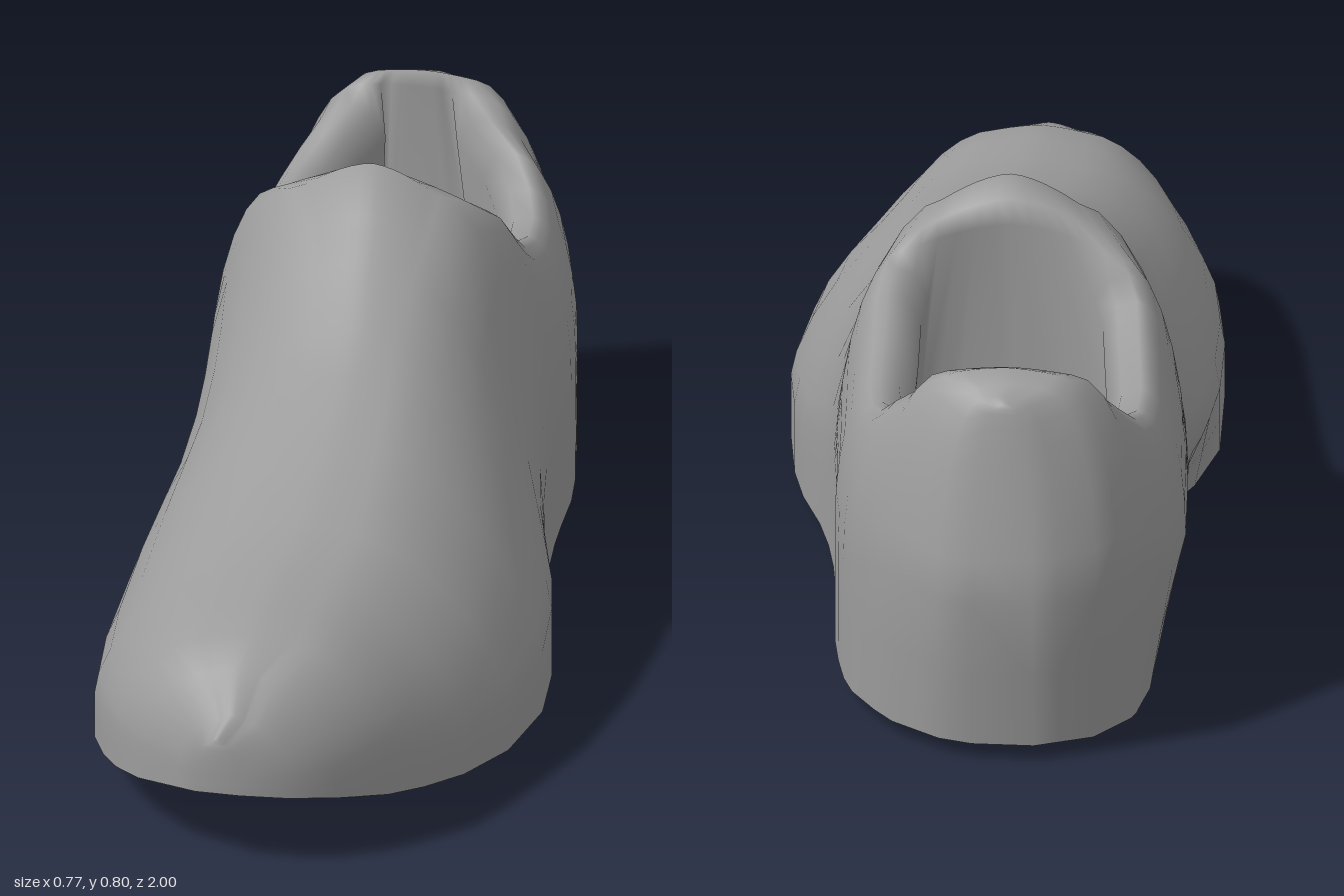
import * as THREE from 'three';

// Piecewise-linear tables of [z, value], running from toe to heel
const at = (table, z) => {
  for (let i = 1; i < table.length; i++) {
    const [z0, v0] = table[i - 1], [z1, v1] = table[i];
    if (z >= z1) return THREE.MathUtils.lerp(v0, v1, Math.min(1, Math.max(0, (z0 - z) / (z0 - z1))));
  }
  return table[table.length - 1][1];
};

// Plan outlines: widest wall on each side, and the waisted sole edge on the inner side
const wallRight = [[1, 0], [0.97, 0.12], [0.86, 0.23], [0.7, 0.31], [0.5, 0.37], [0.3, 0.385], [0.1, 0.36],
  [-0.1, 0.29], [-0.24, 0.265], [-0.4, 0.245], [-0.58, 0.235], [-0.76, 0.2], [-0.9, 0.12], [-0.98, 0.02], [-1, -0.04]];
const wallLeft = [[1, -0.08], [0.93, -0.2], [0.82, -0.28], [0.65, -0.345], [0.45, -0.375], [0.25, -0.375],
  [-0.1, -0.355], [-0.4, -0.375], [-0.55, -0.385], [-0.7, -0.38], [-0.85, -0.34], [-0.95, -0.26], [-1, -0.15]];
const waist = [[0.25, 0], [0.1, 0.04], [-0.12, 0.135], [-0.24, 0.125], [-0.43, 0.075], [-0.8, 0.03], [-1, 0]];

// Side profiles: sole edge, shoulder of the top line, half-width of the top and the rise of its crown
const soleY = [[1, 0.145], [0.8, 0.09], [0.6, 0.05], [0.3, 0.026], [0, 0.022], [-1, 0.03]];
const topY = [[1, 0.24], [0.98, 0.28], [0.93, 0.345], [0.84, 0.38], [0.53, 0.42], [0.2, 0.535], [0.05, 0.595],
  [-0.06, 0.66], [-0.24, 0.747], [-0.3, 0.715], [-0.33, 0.685], [-0.36, 0.635], [-0.45, 0.57], [-0.58, 0.525],
  [-0.7, 0.54], [-0.8, 0.61], [-0.86, 0.675], [-0.91, 0.69], [-1, 0.655]];
const ridge = [[1, 0.015], [0.86, 0.08], [0.5, 0.1], [0, 0.08], [-0.24, 0.12], [-0.3, 0.16], [-0.33, 0.195],
  [-0.36, 0.22], [-0.6, 0.235], [-0.72, 0.207], [-0.78, 0.175], [-0.83, 0.125], [-0.86, 0.11], [-0.93, 0.08], [-1, 0.02]];
const crown = [[0.2, 0.012], [-0.06, 0.025], [-0.24, 0.053], [-0.3, 0.055], [-0.33, 0.045], [-0.8, 0.01]];

// Height share of the upright wall, and how flatly each flank slopes above it
const wallShare = [[1, 0.3], [0.7, 0.25], [0, 0.25], [-0.24, 0.3], [-0.5, 0.45], [-1, 0.45]];
const flankRight = [[1, 1.1], [0.7, 1.3], [0.3, 1.38], [0, 1.38], [-0.24, 1.2], [-0.4, 1], [-1, 1]];
const flankLeft = [[1, 1.1], [0.7, 1.25], [0, 1.25], [-0.24, 1.15], [-0.4, 1], [-1, 1]];

const stations = [1, 0.98, 0.93, 0.85, 0.76, 0.65, 0.5, 0.3, 0.15, 0.05, -0.06, -0.15, -0.24, -0.3, -0.33,
  -0.345, -0.375, -0.45, -0.55, -0.64, -0.72, -0.78, -0.83, -0.86, -0.91, -0.95, -0.98, -1];
const FLOOR = 0.1;

// Leans the heel wall, bulging at mid height, and bows the tongue edge forward at its middle
function place(x, y, z) {
  const k = THREE.MathUtils.clamp((-z - 0.6) / 0.4, 0, 1);
  const lean = y < 0.32 ? (0.32 - y) * 0.1 : (y - 0.32) * 0.26;
  const bow = 0.03 * Math.max(0, 1 - Math.abs(z + 0.335) / 0.1) * Math.max(0, 1 - ((x + 0.06) / 0.17) ** 2);
  return [x, y, z + k * lean + bow];
}

const soleEdges = z => [at(wallLeft, z) + at(waist, z), at(wallRight, z)];

// One half of a cross-section, from the sole edge to the centre line
function halfSection(z, side) {
  const left = at(wallLeft, z), right = at(wallRight, z);
  const cx = (left + right) / 2, w = (right - left) / 2;
  const y0 = at(soleY, z), yr = at(topY, z), r = Math.min(at(ridge, z), w * 0.8);
  const yw = y0 + (yr - y0) * at(wallShare, z);
  const edge = soleEdges(z)[side < 0 ? 0 : 1], wall = cx + side * w;
  const power = at(side < 0 ? flankLeft : flankRight, z);
  const pts = [[edge, y0], [(edge + wall) / 2, (y0 + yw) / 2]];
  // outer wall rounding over to the ridge
  for (let i = 0; i <= 7; i++) {
    const a = (i / 7) * Math.PI / 2;
    const across = Math.max(0, Math.cos(a)) ** power, up = Math.sin(a) ** power;
    pts.push([cx + side * (r + (w - r) * across), yw + (yr - yw) * up]);
  }
  if (z < -0.335 && z > -0.84) {
    // collar roll, lining that widens below it, and insole
    pts.push([cx + side * (r - 0.035), yr - 0.012], [cx + side * (r - 0.06), yr - 0.06],
      [cx + side * (r - 0.045), (yr + FLOOR) / 2], [cx + side * (r - 0.05), FLOOR + 0.02],
      [cx + side * (r - 0.06) * 0.8, FLOOR], [cx, FLOOR]);
  } else {
    // closed crown
    const rise = at(crown, z);
    for (let i = 1; i <= 6; i++) {
      const s = 1 - i / 6;
      pts.push([cx + side * r * s, yr + rise * (1 - s ** 1.6)]);
    }
  }
  return pts;
}

// Joins rows of points into a smooth sheet, with optional end caps built across each end row
function loft(rows, flip, caps) {
  const n = rows[0].length, index = [];
  const tri = (a, b, c) => (flip ? index.push(a, c, b) : index.push(a, b, c));
  for (let i = 0; i < rows.length - 1; i++) {
    for (let j = 0; j < n - 1; j++) {
      const a = i * n + j, c = a + n;
      tri(a, a + 1, c);
      tri(a + 1, c + 1, c);
    }
  }
  if (caps) {
    const last = (rows.length - 1) * n;
    for (let j = 0; j < (n - 1) / 2; j++) {
      const m = n - 1 - j;
      tri(j, m, m - 1);
      tri(last + j, last + m - 1, last + m);
      if (m - 1 > j + 1) {
        tri(j, m - 1, j + 1);
        tri(last + j, last + j + 1, last + m - 1);
      }
    }
  }
  const g = new THREE.BufferGeometry();
  g.setAttribute('position', new THREE.Float32BufferAttribute(rows.flat(2), 3));
  g.setIndex(index);
  g.computeVertexNormals();
  return g;
}

export function createModel() {
  const group = new THREE.Group();
  group.name = 'shoe';
  const material = new THREE.MeshStandardMaterial({ color: 0x9c9c9c, side: THREE.DoubleSide });
  const add = (name, geometry) => {
    const mesh = new THREE.Mesh(geometry, material);
    mesh.name = name;
    group.add(mesh);
  };

  // Upper with its collar and lining in one continuous surface
  const upperRows = stations.map(z => {
    const l = halfSection(z, -1), r = halfSection(z, 1).reverse().slice(1);
    return [...l, ...r].map(([x, y]) => place(x, y, z));
  });
  add('upper', loft(upperRows, false, true));

  // Underside, slightly bellied between its edges
  const soleRows = stations.map(z => {
    const [l, r] = soleEdges(z), y = at(soleY, z);
    const belly = 0.022 * Math.min(1, (1 - Math.abs(z)) * 5);
    return [[0, 0], [0.12, 0.75], [0.3, 1], [0.7, 1], [0.88, 0.75], [1, 0]].map(([t, drop]) =>
      place(l + (r - l) * t, y - belly * drop, z));
  });
  add('sole', loft(soleRows, true, false));

  return group;
}
